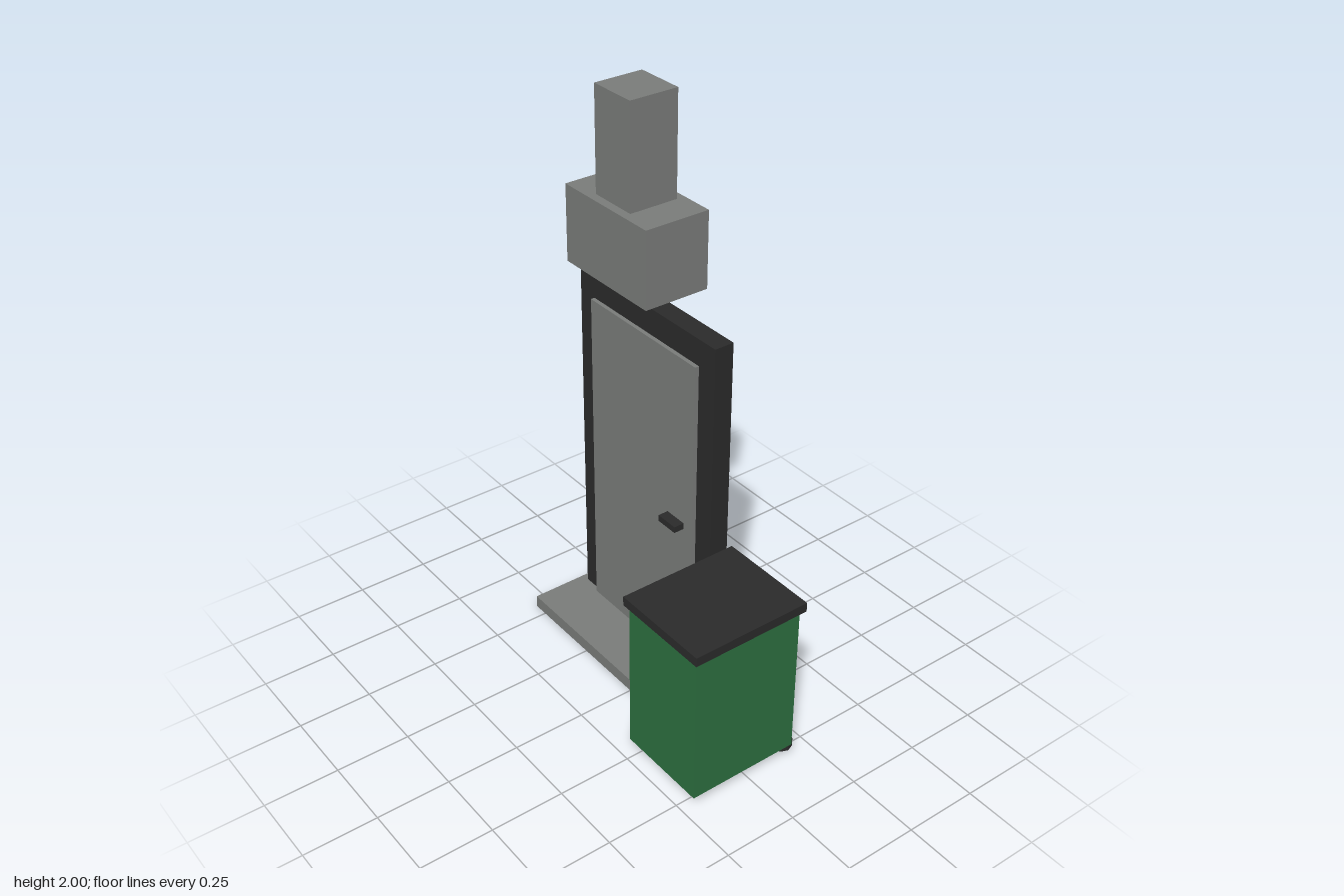
import * as THREE from 'three';

const material = (name, color) => {
  const m = new THREE.MeshStandardMaterial({ color });
  m.name = name;
  return m;
};

export function createModel() {
  const grey = material('stone grey', 0x7b7d7b);
  const dark = material('charcoal', 0x2b2b2b);
  const green = material('bin green', 0x2d7040);

  const model = new THREE.Group();
  model.name = 'doorBinAndChimney';

  const group = (name) => {
    const g = new THREE.Group();
    g.name = name;
    model.add(g);
    return g;
  };

  // Box given by its extents along each axis
  const box = (parent, name, mat, [x0, x1], [y0, y1], [z0, z1]) => {
    const mesh = new THREE.Mesh(new THREE.BoxGeometry(x1 - x0, y1 - y0, z1 - z0), mat);
    mesh.position.set((x0 + x1) / 2, (y0 + y1) / 2, (z0 + z1) / 2);
    mesh.name = name;
    parent.add(mesh);
  };

  // Doorway: step, backing frame, door leaf and handle
  const doorway = group('doorway');
  box(doorway, 'doorStep', grey, [-0.55, 0.178], [0, 0.044], [-0.17, 0.053]);
  box(doorway, 'doorFrame', dark, [-0.523, 0.15], [0.001, 1.297], [-0.215, -0.147]);
  box(doorway, 'doorLeaf', grey, [-0.45, 0.077], [0.04, 1.207], [-0.16, -0.133]);
  box(doorway, 'doorHandle', dark, [-0.048, 0.034], [0.597, 0.619], [-0.135, -0.097]);

  // Chimney: wide base and narrow stack
  const chimney = group('chimney');
  box(chimney, 'chimneyBase', grey, [-0.383, 0.009], [1.409, 1.662], [-0.227, -0.003]);
  box(chimney, 'chimneyStack', grey, [-0.27, -0.103], [1.655, 2], [-0.199, -0.032]);

  // Wheeled bin: body, overhanging lid, two eight-sided rear wheels
  const bin = group('bin');
  box(bin, 'binBody', green, [0.214, 0.537], [0.036, 0.575], [-0.178, 0.212]);
  box(bin, 'binLid', dark, [0.2, 0.55], [0.571, 0.603], [-0.193, 0.224]);
  const wheelGeometry = new THREE.CylinderGeometry(0.034, 0.034, 0.03, 8).toNonIndexed();
  wheelGeometry.computeVertexNormals();
  for (const side of [-1, 1]) {
    const wheel = new THREE.Mesh(wheelGeometry, dark);
    wheel.position.set(0.3755 + side * 0.124, 0.027, -0.17);
    wheel.name = side > 0 ? 'leftWheel' : 'rightWheel';
    bin.add(wheel);
  }

  return model;
}
